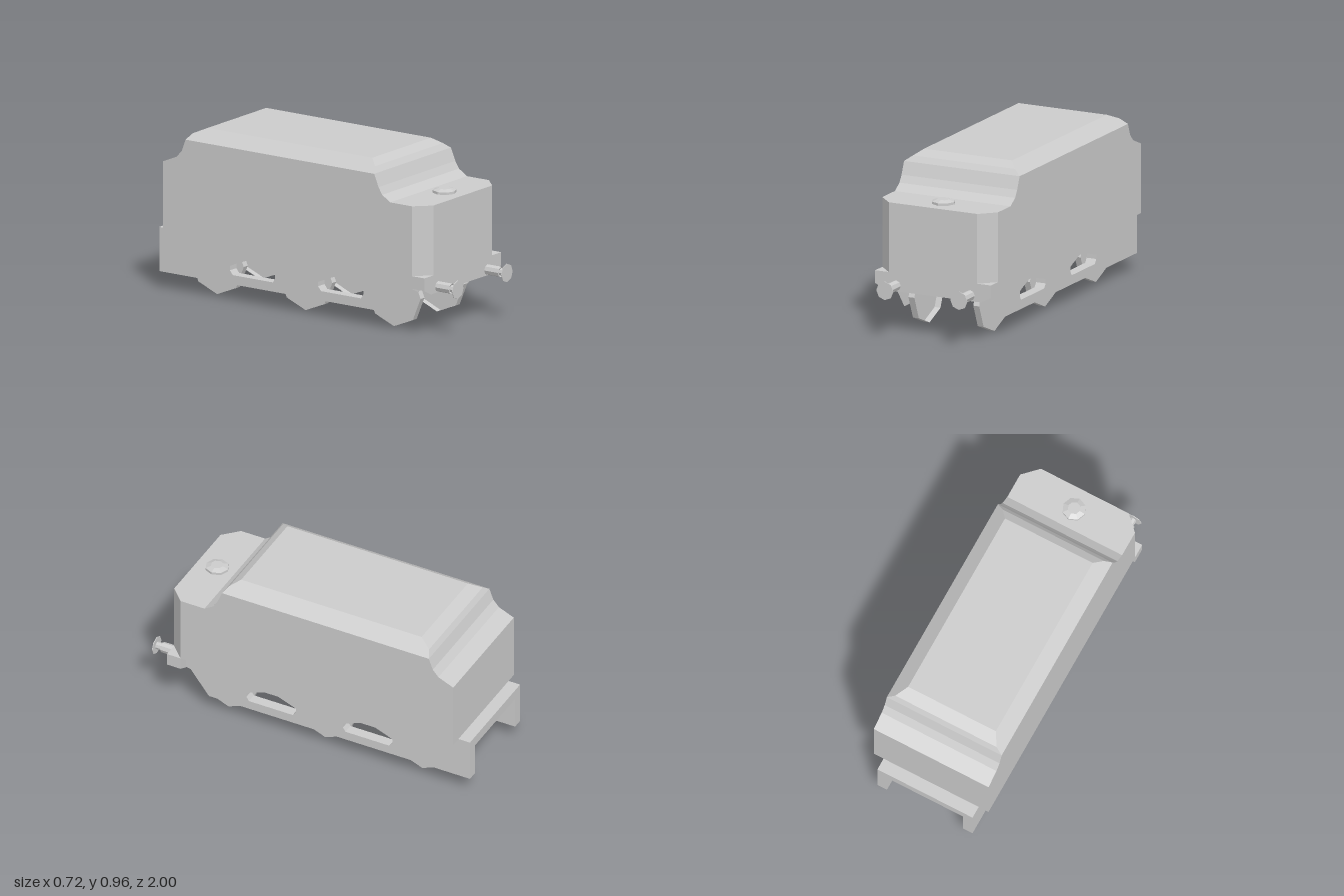
import * as THREE from 'three';

const grey = new THREE.MeshStandardMaterial({ color: 0xcccccc, flatShading: true, side: THREE.DoubleSide });

function add(parent, name, geometry, x = 0, y = 0, z = 0) {
  const mesh = new THREE.Mesh(geometry, grey);
  mesh.name = name;
  mesh.position.set(x, y, z);
  parent.add(mesh);
}

function fromTriangles(verts) {
  const geometry = new THREE.BufferGeometry();
  geometry.setAttribute('position', new THREE.Float32BufferAttribute(verts, 3));
  geometry.computeVertexNormals();
  return geometry;
}

const polygon = (Type, pts) => new Type(pts.map(([a, b]) => new THREE.Vector2(a, b)));
const sheet = (pts) => new THREE.ShapeGeometry(polygon(THREE.Shape, pts));

// Open strip: a polyline in (x, y) swept along z
function strip(pts, depth) {
  const verts = [];
  for (let i = 0; i < pts.length - 1; i++) {
    const [a, b] = [pts[i], pts[i + 1]];
    verts.push(...a, 0, ...b, 0, ...b, depth, ...a, 0, ...b, depth, ...a, depth);
  }
  return fromTriangles(verts);
}

// Open-bottomed tank: cross-sections from front to back, each [z, roof height, half width]
function tankGeometry() {
  const sections = [
    [0.865, 0.75, 0.277], [0.78, 0.75, 0.362], [0.63, 0.75, 0.362], [0.575, 0.785, 0.362],
    [0.55, 0.825, 0.362], [0.52, 0.897, 0.362], [0.495, 0.928, 0.362], [0.445, 0.96, 0.362],
    [-0.685, 0.96, 0.362], [-0.755, 0.928, 0.362], [-0.775, 0.897, 0.362], [-0.8, 0.83, 0.362],
    [-0.835, 0.79, 0.362], [-0.928, 0.75, 0.362],
  ];
  const base = 0.35, shoulder = 0.897;
  const rings = sections.map(([z, h, w]) => {
    const s = Math.min(h, shoulder);
    const t = w - (h - s) * 1.36; // roof edge bevel
    return [[w, base], [w, s], [t, h], [-t, h], [-w, s], [-w, base]].map(([x, y]) => new THREE.Vector3(x, y, z));
  });
  const verts = [];
  const tri = (a, b, c) => {
    if (new THREE.Triangle(a, b, c).getArea() > 1e-7) verts.push(...a, ...b, ...c);
  };
  for (let i = 0; i < rings.length - 1; i++) {
    for (let j = 0; j < 5; j++) {
      const [a, b, c, d] = [rings[i][j], rings[i][j + 1], rings[i + 1][j + 1], rings[i + 1][j]];
      tri(a, d, b);
      tri(b, d, c);
    }
  }
  const front = rings[0], back = rings[rings.length - 1];
  for (let j = 1; j < 5; j++) {
    tri(front[0], front[j], front[j + 1]);
    tri(back[0], back[j + 1], back[j]);
  }
  return fromTriangles(verts);
}

const windows = [0.245, -0.36];

// Side frame sheet with two windows, drawn in (z, y)
function frameSheet(top) {
  const shape = polygon(THREE.Shape, [
    [-1, 0.097], [0.635, 0.097], [0.75, 0.245], [0.78, 0.25], [0.78, top], [-1, top],
  ]);
  for (const z of windows) {
    shape.holes.push(polygon(THREE.Path, [
      [0.155, 0.175], [0.14, 0.15], [-0.135, 0.15], [-0.155, 0.175], [-0.155, 0.2],
      [-0.13, 0.212], [-0.045, 0.245], [0.045, 0.245], [0.13, 0.212], [0.155, 0.2],
    ].map(([a, b]) => [a + z, b])));
  }
  return new THREE.ShapeGeometry(shape).rotateY(-Math.PI / 2);
}

export function createModel() {
  const model = new THREE.Group();
  model.name = 'tender';

  add(model, 'tank', tankGeometry());

  // Filler cap on the low front deck
  const cap = new THREE.Group();
  cap.name = 'fillerCap';
  cap.position.set(0, 0.75, 0.74);
  add(cap, 'capRim', new THREE.CylinderGeometry(0.067, 0.067, 0.014, 8, 1, true), 0, 0.007);
  add(cap, 'capLid', new THREE.CylinderGeometry(0.036, 0.067, 0.011, 8), 0, 0.0195);
  model.add(cap);

  // Rear end of the hollow chassis: arch-shaped plate and the ledge behind the tank
  add(model, 'rearPlate', sheet([
    [-0.3, 0.097], [-0.24, 0.097], [-0.24, 0.29], [0.24, 0.29], [0.24, 0.097], [0.3, 0.097], [0.3, 0.35], [-0.3, 0.35],
  ]).rotateY(Math.PI), 0, 0, -1);
  add(model, 'rearLedge', strip([[0.3, 0.35], [-0.3, 0.35]], 0.08), 0, 0, -1);

  // Front beam with clipped lower corners, open underneath
  add(model, 'frontBeam', sheet([
    [-0.3, 0.245], [0.3, 0.245], [0.362, 0.277], [0.362, 0.35], [-0.362, 0.35], [-0.362, 0.277],
  ]), 0, 0, 0.865);

  const outerSheet = frameSheet(0.35);
  const innerSheet = frameSheet(0.29);
  const windowSill = strip([
    [0.155, 0.2], [0.155, 0.175], [0.14, 0.15], [-0.135, 0.15], [-0.155, 0.175], [-0.155, 0.2],
  ], 0.06).rotateY(-Math.PI / 2);
  const wheelRim = new THREE.CylinderGeometry(0.183, 0.183, 0.037, 8, 1, true).rotateZ(Math.PI / 2);
  const rod = (r, length, open) => new THREE.CylinderGeometry(r, r, length, 8, 1, open).rotateX(Math.PI / 2);

  for (const side of [1, -1]) {
    const label = side > 0 ? 'left' : 'right';

    // Hollow side frame with window linings
    add(model, label + 'OuterFrame', outerSheet, side * 0.3);
    add(model, label + 'InnerFrame', innerSheet, side * 0.24);
    for (const z of windows) add(model, label + 'WindowSill', windowSill, side > 0 ? 0.3 : -0.24, 0, z);

    // Beam end: side, top corner and back
    add(model, label + 'BeamSide', strip([[side * 0.362, 0.277], [side * 0.362, 0.35]], 0.085), 0, 0, 0.78);
    add(model, label + 'BeamTop', sheet([
      [side * 0.277, -0.865], [side * 0.362, -0.865], [side * 0.362, -0.78],
    ]).rotateX(-Math.PI / 2), 0, 0.35, 0);
    add(model, label + 'BeamBack', sheet([
      [side * 0.3, 0.245], [side * 0.362, 0.277], [side * 0.362, 0.35], [side * 0.3, 0.35],
    ]), 0, 0, 0.78);

    // Octagonal wheels, open on the inner side
    const wheelDisc = new THREE.CircleGeometry(0.183, 8).rotateY(side * Math.PI / 2);
    for (const z of [0.553, -0.053, -0.66]) {
      const wheel = new THREE.Group();
      wheel.name = label + 'Wheel';
      wheel.position.set(side * 0.203, 0.183, z);
      add(wheel, 'rim', wheelRim);
      add(wheel, 'disc', wheelDisc, side * 0.0185);
      model.add(wheel);
    }

    // Bumpers: sleeve, plunger and head
    const bumper = new THREE.Group();
    bumper.name = label + 'Bumper';
    bumper.position.set(side * 0.232, 0.278, 0);
    add(bumper, 'sleeve', rod(0.03, 0.095, true), 0, 0, 0.9125);
    add(bumper, 'plunger', rod(0.022, 0.04, true), 0, 0, 0.978);
    add(bumper, 'head', rod(0.053, 0.004, false), 0, 0, 0.998);
    model.add(bumper);
  }
  return model;
}
